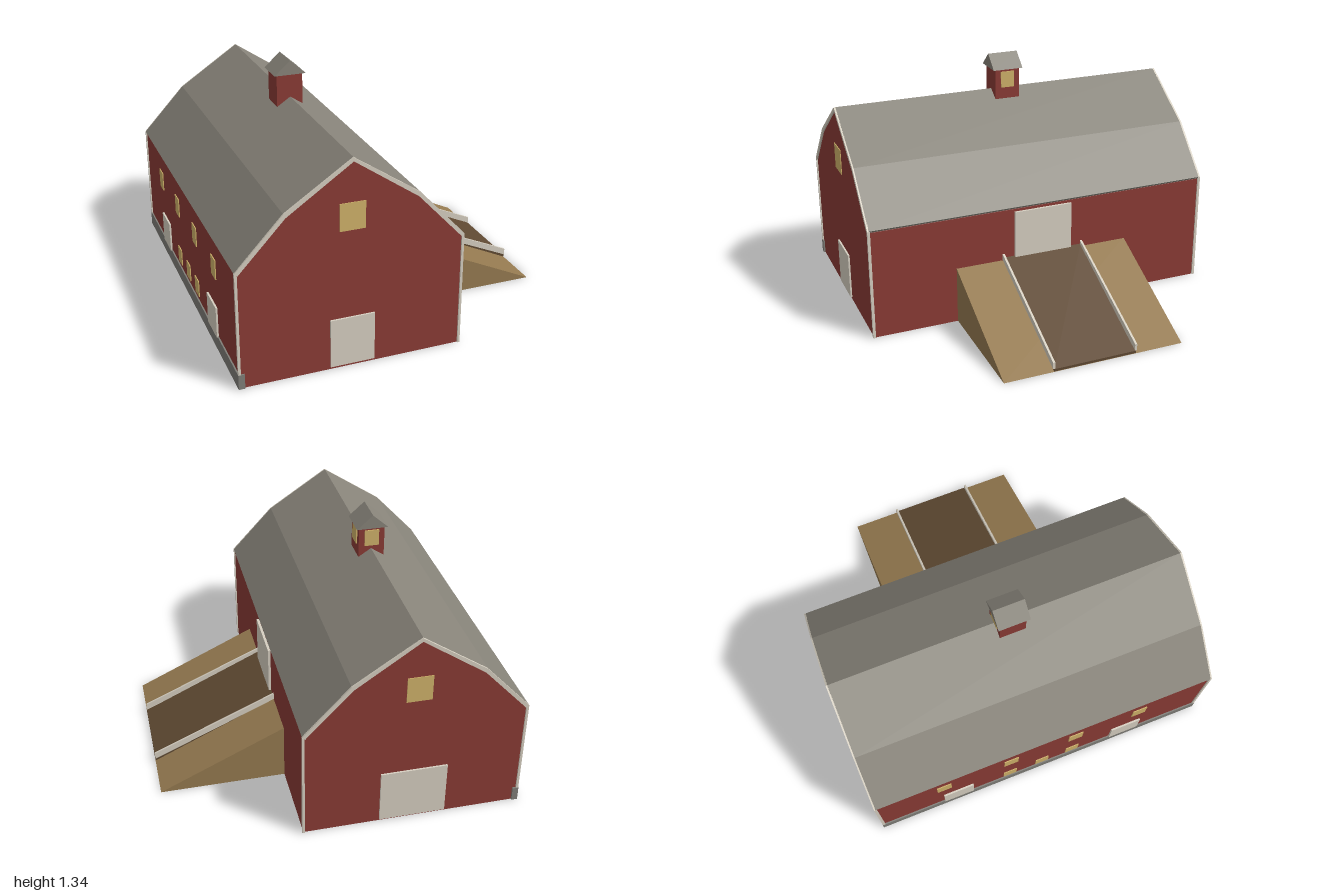
import * as THREE from 'three';

const paint = (name, color) => {
  const m = new THREE.MeshStandardMaterial({ color });
  m.name = name;
  return m;
};

export function createModel() {
  const model = new THREE.Group();
  model.name = 'barn';
  const red = paint('barn red', 0x8a3b35);
  const white = paint('off-white trim', 0xd6cfc1);
  const roofGrey = paint('roof grey', 0x88847a);
  const stone = paint('foundation stone', 0x7f7d77);
  const glass = paint('warm window', 0xd0b26a);
  const earth = paint('earth bank', 0x957a50);
  const road = paint('ramp planks', 0x5f4932);

  const CX = -0.34; // barn centre line

  const add = (name, geometry, material, parent = model) => {
    const mesh = new THREE.Mesh(geometry, material);
    mesh.name = name;
    parent.add(mesh);
    return mesh;
  };
  // Box given by its extents
  const box = (name, material, [x0, x1], [y0, y1], [z0, z1]) => {
    const mesh = add(name, new THREE.BoxGeometry(x1 - x0, y1 - y0, z1 - z0), material);
    mesh.position.set((x0 + x1) / 2, (y0 + y1) / 2, (z0 + z1) / 2);
    return mesh;
  };
  // Outline in the xy plane, extruded from z0 to z1
  const prism = (name, material, points, z0, z1) => {
    const shape = new THREE.Shape(points.map(([x, y]) => new THREE.Vector2(x, y)));
    const geometry = new THREE.ExtrudeGeometry(shape, { depth: z1 - z0, bevelEnabled: false });
    return add(name, geometry.translate(0, 0, z0), material);
  };
  // Mirrors a half profile (eave to ridge) about the barn centre line
  const mirrored = (half) => [
    ...half.map(([x, y]) => [CX + x, y]),
    ...half.slice(0, -1).reverse().map(([x, y]) => [CX - x, y]),
  ];

  // Main body
  prism('barnWalls', red, mirrored([[0.59, 0], [0.59, 0.62], [0.345, 0.88], [0, 1.115]]), -0.99, 0.99);

  // Gambrel roof shell and the pale boards along its gable edges
  const outer = mirrored([[0.597, 0.632], [0.35, 0.897], [0, 1.13]]);
  const inner = mirrored([[0.588, 0.62], [0.343, 0.878], [0, 1.112]]);
  prism('roof', roofGrey, [...outer, ...[...inner].reverse()], -0.99, 0.99);
  const rakeInner = mirrored([[0.582, 0.618], [0.341, 0.876], [0, 1.11]]);
  for (const s of [-1, 1]) {
    prism('rakeTrim', white, [...outer, ...[...rakeInner].reverse()], s * 0.993 - 0.005, s * 0.993 + 0.005);
    // Corner boards
    for (const t of [-1, 1]) {
      const mesh = box('cornerBoard', white, [-0.0065, 0.0065], [0, 0.63], [-0.0075, 0.0075]);
      mesh.position.x = CX + t * 0.5905;
      mesh.position.z = s * 0.9905;
    }
  }

  // Exposed foundation on the low side
  box('foundation', stone, [-0.938, -0.905], [0, 0.08], [-0.9995, 0.9995]);

  // Gable doors and loft windows
  box('frontDoor', white, [-0.46, -0.225], [0.015, 0.28], [0.985, 1]);
  box('backDoor', white, [-0.52, -0.16], [0.012, 0.315], [-1, -0.985]);
  for (const s of [-1, 1]) {
    const pane = box('loftWindow', glass, [-0.41, -0.275], [0.755, 0.9], [-0.004, 0.004]);
    pane.position.z = s * 0.99;
  }

  // Side doors and windows on the low side
  for (const z of [-0.52, 0.525]) {
    box('sideDoor', white, [-0.94, -0.925], [0.07, 0.245], [z - 0.09, z + 0.09]);
  }
  for (const z of [-0.6, -0.2, 0.19, 0.58]) {
    box('upperWindow', glass, [-0.935, -0.927], [0.41, 0.52], [z - 0.042, z + 0.042]);
  }
  for (const z of [-0.2, 0, 0.19]) {
    box('lowerWindow', glass, [-0.935, -0.927], [0.105, 0.2], [z - 0.04, z + 0.04]);
  }

  // Upper door above the ramp
  box('rampDoor', white, [0.245, 0.264], [0.335, 0.605], [-0.168, 0.17]);

  // Earth bank with a plank roadway and low rails
  prism('earthBank', earth, [[0.245, 0], [0.94, 0], [0.245, 0.325]], -0.512, 0.512);
  prism('roadway', road, [[0.25, 0.3], [0.93, 0.002], [0.94, 0.002], [0.94, 0.016], [0.25, 0.338]], -0.235, 0.235);
  for (const s of [-1, 1]) {
    prism('rampRail', white, [[0.25, 0.325], [0.94, 0.018], [0.94, 0.055], [0.25, 0.36]],
      s * 0.236 - 0.006, s * 0.236 + 0.006);
  }

  // Cupola
  box('cupolaBody', red, [-0.414, -0.27], [1.05, 1.265], [-0.073, 0.073]);
  prism('cupolaRoof', roofGrey, [[-0.43, 1.257], [-0.254, 1.257], [-0.342, 1.336]], -0.088, 0.088);
  box('cupolaSideWindow', glass, [-0.272, -0.263], [1.15, 1.242], [-0.04, 0.04]);
  box('cupolaBackWindow', glass, [-0.382, -0.302], [1.15, 1.242], [-0.08, -0.071]);

  return model;
}
